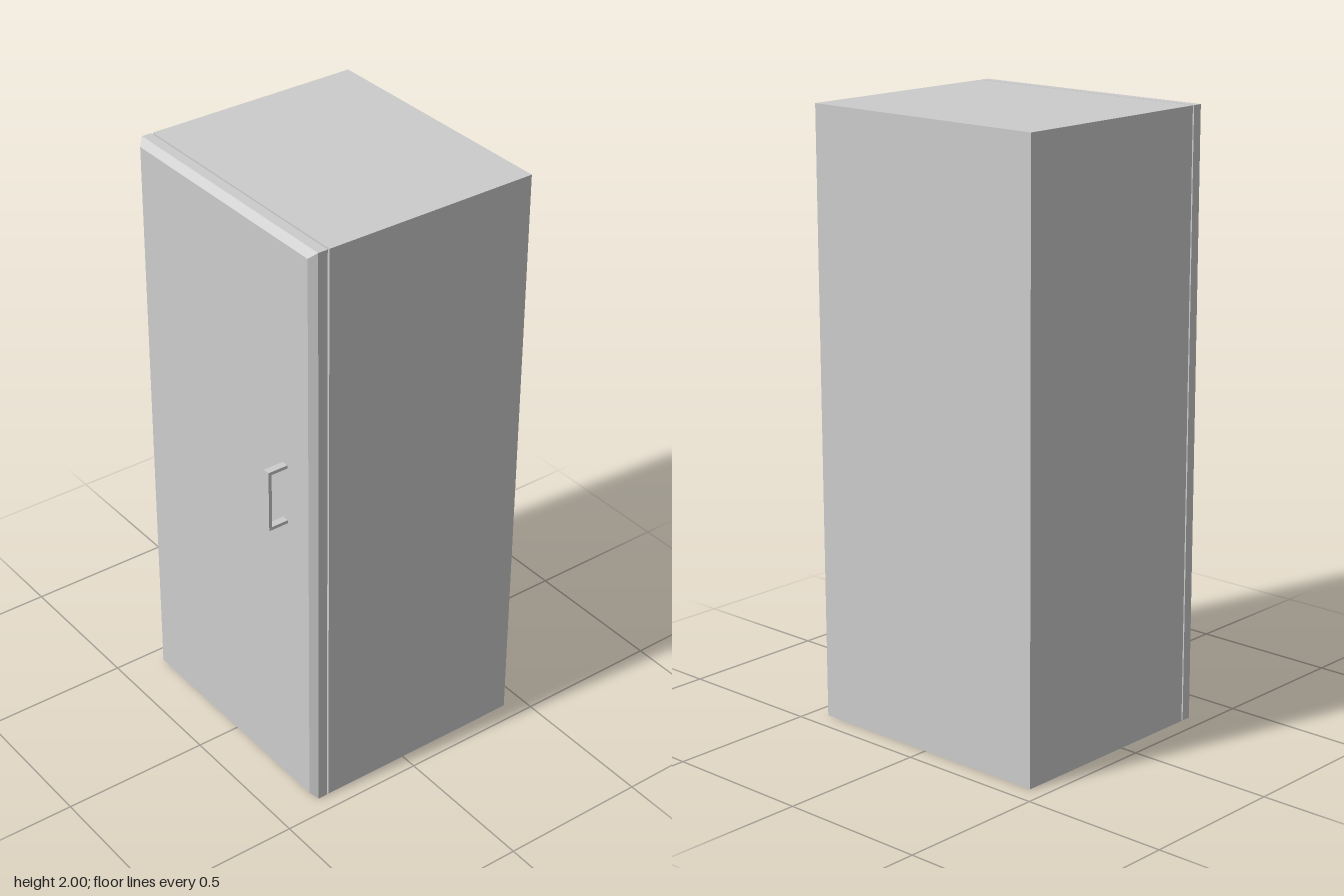
import * as THREE from 'three';

const paint = new THREE.MeshStandardMaterial({ name: 'light grey paint', color: 0xcccccc });

function addMesh(group, name, geometry, x = 0, y = 0, z = 0) {
  const mesh = new THREE.Mesh(geometry, paint);
  mesh.name = name;
  mesh.position.set(x, y, z);
  group.add(mesh);
}

// Slab from z = 0 to depth whose front edges are chamfered
function chamferedSlab(width, height, depth, inset) {
  const box = new THREE.BoxGeometry(width, height, depth, 1, 1, 2);
  const p = box.attributes.position;
  for (let i = 0; i < p.count; i++) {
    const z = p.getZ(i);
    if (z > 0.001) {
      p.setX(i, p.getX(i) - Math.sign(p.getX(i)) * inset);
      p.setY(i, p.getY(i) - Math.sign(p.getY(i)) * inset);
      p.setZ(i, depth);
    } else {
      p.setZ(i, z < -0.001 ? 0 : depth - inset);
    }
  }
  const flat = box.toNonIndexed();
  flat.computeVertexNormals();
  return flat;
}

// Square C-shaped pull, its profile drawn in depth and height
function pullHandle(reach, height, bar, width) {
  const shape = new THREE.Shape([
    [0, 0], [reach, 0], [reach, height], [0, height],
    [0, height - bar], [reach - bar, height - bar], [reach - bar, bar], [0, bar],
  ].map(([x, y]) => new THREE.Vector2(x, y)));
  return new THREE.ExtrudeGeometry(shape, { depth: width, bevelEnabled: false })
    .translate(0, 0, -width / 2)
    .rotateY(-Math.PI / 2);
}

export function createModel() {
  const cabinet = new THREE.Group();
  cabinet.name = 'cabinet';

  // Carcass
  addMesh(cabinet, 'carcass', new THREE.BoxGeometry(0.884, 2, 0.735), 0, 1, -0.0645);

  // Thin spacer strips holding the door off the carcass
  for (const side of [-1, 1]) {
    addMesh(cabinet, side < 0 ? 'rightSpacer' : 'leftSpacer',
      new THREE.BoxGeometry(0.028, 1.7, 0.006), side * 0.389, 1, 0.306);
  }

  // Door with chamfered front edges
  addMesh(cabinet, 'door', chamferedSlab(0.884, 2, 0.054, 0.021), 0, 1, 0.309);

  // Door pull
  addMesh(cabinet, 'handle', pullHandle(0.069, 0.21, 0.011, 0.024), 0.305, 1.022, 0.363);

  return cabinet;
}
